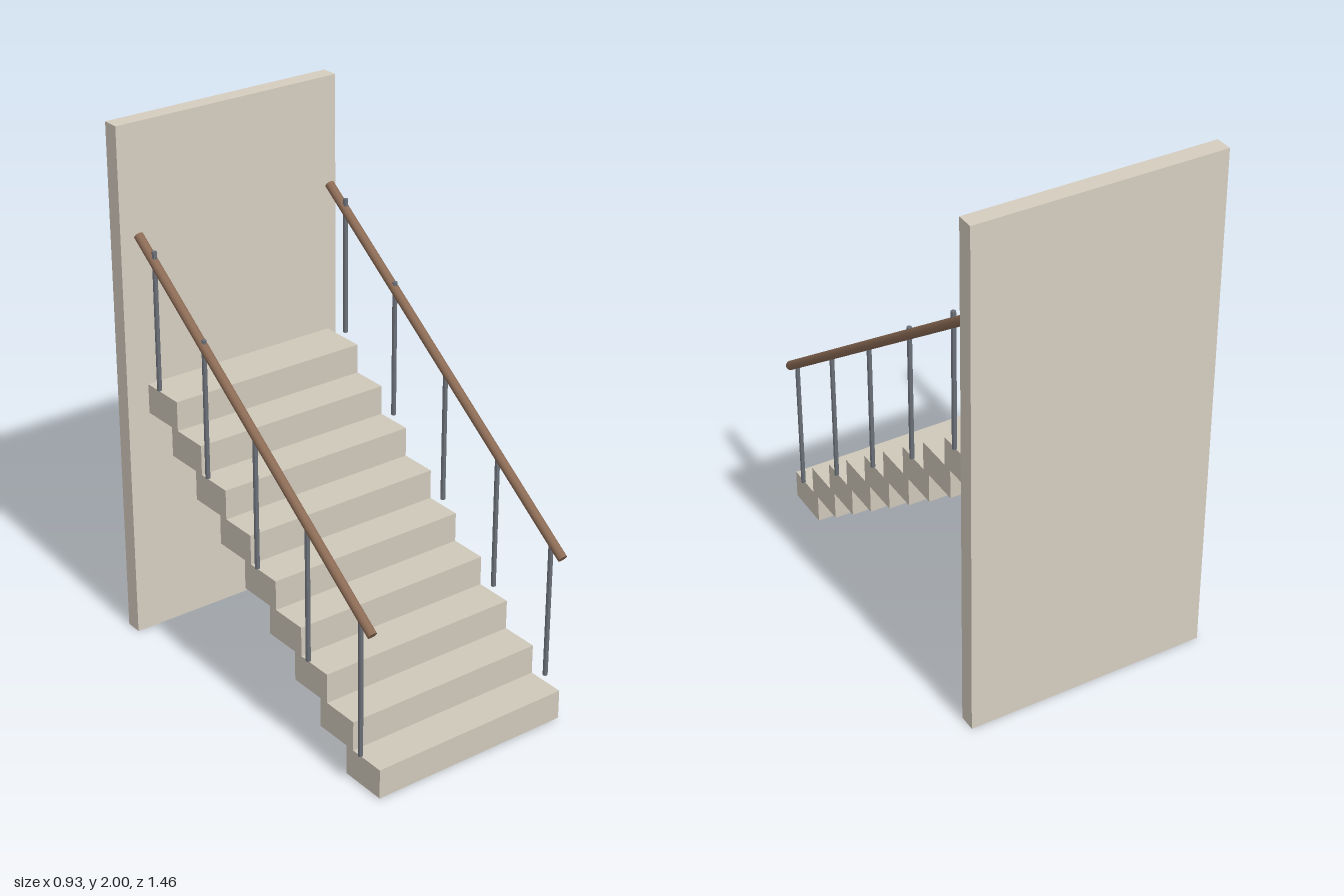
import * as THREE from 'three';

const STEPS = 9, RISE = 0.1135, RUN = 0.1465, DEPTH = 0.184, FRONT = 0.729;

function material(color, flatShading = false) {
  return new THREE.MeshStandardMaterial({ color, flatShading });
}

function addMesh(parent, name, geometry, mat, x, y, z) {
  const mesh = new THREE.Mesh(geometry, mat);
  mesh.name = name;
  mesh.position.set(x, y, z);
  parent.add(mesh);
  return mesh;
}

export function createModel() {
  const model = new THREE.Group();
  model.name = 'staircase';
  const stone = material(0xcfc8ba);
  const plaster = material(0xd6cdc0);
  const wood = material(0x8b6b55);
  const metal = material(0x6b7078, true);

  // Upright slab behind the top step
  addMesh(model, 'backWall', new THREE.BoxGeometry(0.93, 2, 0.065), plaster, 0, 1, -0.6975);

  // Overlapping block treads climbing toward the back
  const treadGeometry = new THREE.BoxGeometry(0.8, RISE, DEPTH);
  for (let i = 0; i < STEPS; i++) {
    addMesh(model, `step${i + 1}`, treadGeometry, stone,
      0, 0.0065 + RISE * (i + 0.5), FRONT - DEPTH / 2 - RUN * i);
  }

  // One railing per side: a sloped rail on a post at every second step
  const railStart = new THREE.Vector3(0, 0.637, 0.70);
  const railEnd = new THREE.Vector3(0, 1.602, -0.63);
  const slope = railEnd.clone().sub(railStart);
  const middle = railStart.clone().add(railEnd).multiplyScalar(0.5);
  const railGeometry = new THREE.CylinderGeometry(0.0175, 0.0175, slope.length(), 16);
  const postGeometry = new THREE.CylinderGeometry(0.009, 0.009, 0.53, 8);
  for (const side of [1, -1]) {
    const railing = new THREE.Group();
    railing.name = side > 0 ? 'leftRailing' : 'rightRailing';
    railing.position.x = side * 0.4125;
    model.add(railing);

    const rail = addMesh(railing, 'handrail', railGeometry, wood, 0, middle.y, middle.z);
    rail.quaternion.setFromUnitVectors(new THREE.Vector3(0, 1, 0), slope.clone().normalize());
    for (let i = 0; i < STEPS; i += 2) {
      addMesh(railing, 'post', postGeometry, metal, 0, 0.401 + RISE * i, 0.639 - RUN * i);
    }
  }
  return model;
}
